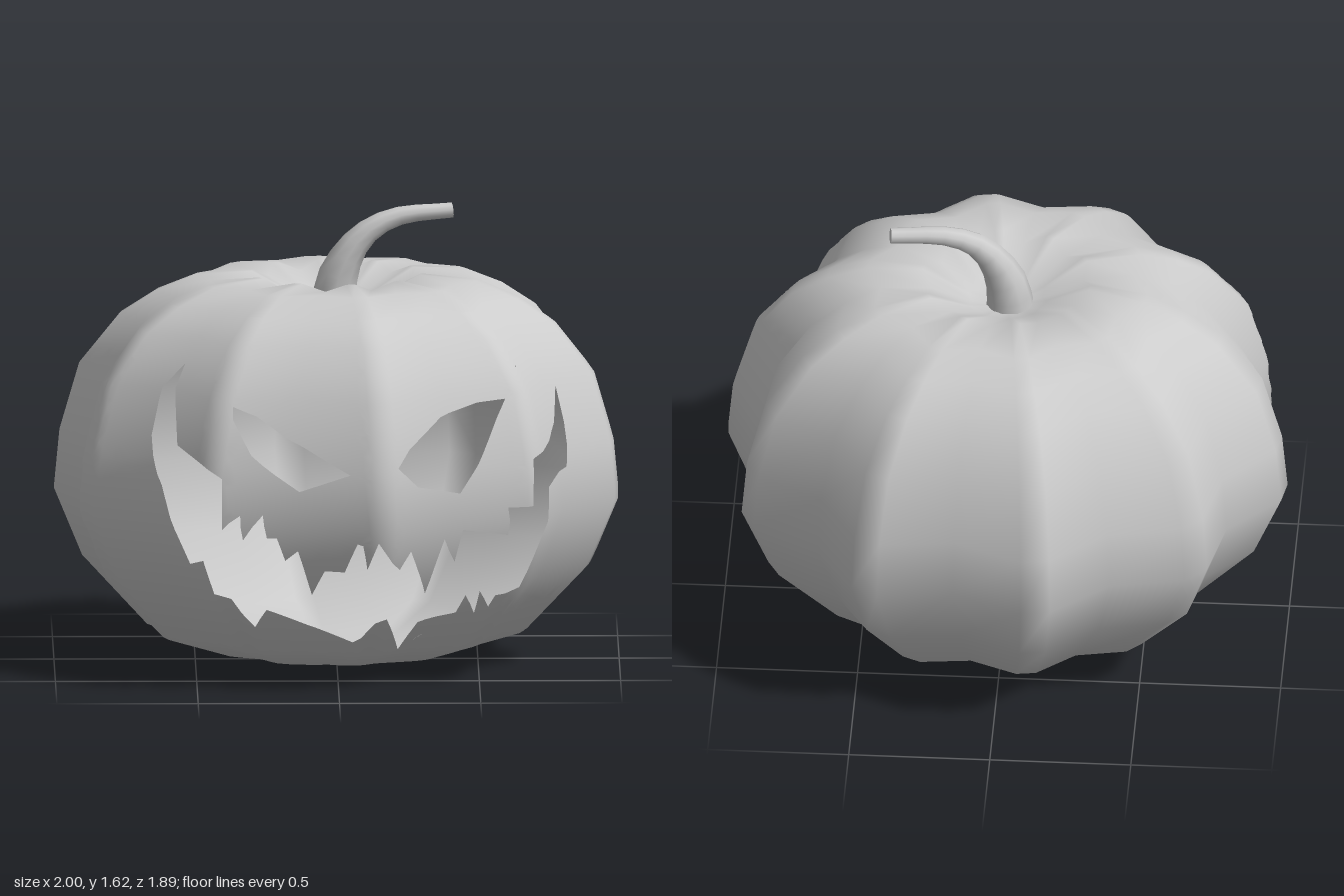
import * as THREE from 'three';

// Ridge profile from the bottom centre to the sunken crown: [radius, height]
const PROFILE = [[0, 0], [0.22, 0.008], [0.43, 0.04], [0.67, 0.115], [0.9, 0.36], [1, 0.6], [0.98, 0.81],
  [0.91, 1.05], [0.77, 1.225], [0.64, 1.31], [0.5, 1.368], [0.3, 1.385], [0.14, 1.3], [0, 1.26]];
const VALLEY_DROP = { 11: 0.03, 12: 0.01 }; // creases dip below the ridges near the crown
const LOBES = 10, COLS = LOBES * 3, ROWS = PROFILE.length - 1;
const MAX_EDGE = 0.3;

// Carved outlines in front view: [x, y]
const RIGHT_EYE = [[-0.375, 1.03], [-0.29, 0.995], [-0.18, 0.915], [0.04, 0.8], [-0.14, 0.73], [-0.31, 0.86], [-0.375, 0.985]];
const LEFT_EYE = [[0.59, 1.035], [0.49, 1.025], [0.36, 0.98], [0.25, 0.885], [0.21, 0.825], [0.28, 0.75], [0.43, 0.71],
  [0.51, 0.845], [0.56, 0.97]];
const UPPER_LIP = [[-0.54, 1.14], [-0.575, 1.06], [-0.57, 0.87], [-0.415, 0.78], [-0.415, 0.6], [-0.35, 0.65],
  [-0.34, 0.56], [-0.27, 0.65], [-0.255, 0.565], [-0.22, 0.565], [-0.19, 0.48], [-0.145, 0.515], [-0.095, 0.35],
  [-0.05, 0.445], [0.02, 0.445], [0.065, 0.555], [0.085, 0.55], [0.1, 0.46], [0.14, 0.56], [0.215, 0.455],
  [0.255, 0.52], [0.305, 0.35], [0.375, 0.55], [0.41, 0.46], [0.44, 0.58], [0.6, 0.555], [0.6, 0.655],
  [0.69, 0.655], [0.69, 0.82]];
const LOWER_LIP = [[0.69, 0.46], [0.64, 0.35], [0.555, 0.325],
  [0.53, 0.28], [0.5, 0.345], [0.48, 0.255], [0.45, 0.33], [0.415, 0.26], [0.28, 0.23], [0.21, 0.125],
  [0.17, 0.26], [0.13, 0.245], [0.05, 0.165], [-0.12, 0.23], [-0.255, 0.29], [-0.295, 0.22], [-0.38, 0.335],
  [-0.44, 0.35], [-0.48, 0.475], [-0.525, 0.45], [-0.595, 0.61], [-0.64, 0.755], [-0.66, 0.89], [-0.62, 1.06]];
// Left mouth corner wraps round the side, in side view: [z, y]
const MOUTH_CORNER = [[0.49, 0.86], [0.365, 0.905], [0.315, 1.03], [0.33, 0.9], [0.36, 0.745], [0.6, 0.71]];

// Control point: each lobe has two ridge columns and one valley column
function control(col, row) {
  const lobe = Math.floor(col / 3), i = col - lobe * 3;
  const angle = THREE.MathUtils.degToRad(9 + 36 * lobe + [-3, 3, 18][i]);
  const valley = i === 2;
  const r = PROFILE[row][0] * (valley ? 0.895 : 1);
  const y = PROFILE[row][1] - (valley ? VALLEY_DROP[row] || 0 : 0);
  return new THREE.Vector3(1.005 * r * Math.sin(angle), y, 0.95 * r * Math.cos(angle));
}

function controlNormal(col, row) {
  if (row === 0 || row === ROWS) return new THREE.Vector3(0, row ? 1 : -1, 0);
  const across = control(col + 1, row).sub(control(col - 1, row));
  const up = control(col, row + 1).sub(control(col, row - 1));
  return across.cross(up).normalize();
}

// Blend the four surrounding control values at column c, row s
function blend(fn, c, s) {
  const col = Math.floor(c), row = Math.min(Math.floor(s), ROWS - 1);
  const low = fn(col, row).lerp(fn(col + 1, row), c - col);
  const high = fn(col, row + 1).lerp(fn(col + 1, row + 1), c - col);
  return low.lerp(high, s - row);
}

// Find the surface coordinates where the given axis reaches a value at height y,
// searching from column lo (small value) to column hi (large value)
function toSurface(axis, value, y, lo, hi) {
  let row = 0;
  while (PROFILE[row + 1][1] < y) row++;
  const s = row + (y - PROFILE[row][1]) / (PROFILE[row + 1][1] - PROFILE[row][1]);
  for (let k = 0; k < 40; k++) {
    const mid = (lo + hi) / 2;
    if (blend(control, mid, s)[axis] < value) lo = mid; else hi = mid;
  }
  return new THREE.Vector2(lo, s);
}
const fromFront = ([x, y]) => toSurface('x', x, y, -5, 5);
const fromSide = ([z, y]) => toSurface('z', z, y, 7, 2);

// Halve the longest edge until the triangle is small enough to follow the surface
function subdivide(a, b, c, out) {
  const ab = a.distanceTo(b), bc = b.distanceTo(c), ca = c.distanceTo(a);
  const longest = Math.max(ab, bc, ca);
  if (longest <= MAX_EDGE) { out.push(a, b, c); return; }
  if (bc === longest) [a, b, c] = [b, c, a];
  else if (ca === longest) [a, b, c] = [c, a, b];
  const m = a.clone().add(b).multiplyScalar(0.5);
  subdivide(a, m, c, out);
  subdivide(m, b, c, out);
}

// Map triangles from surface coordinates onto the lobed body
function skinGeometry(points) {
  const pos = [], nor = [];
  for (const p of points) {
    pos.push(...blend(control, p.x, p.y).toArray());
    nor.push(...blend(controlNormal, p.x, p.y).normalize().toArray());
  }
  const g = new THREE.BufferGeometry();
  g.setAttribute('position', new THREE.Float32BufferAttribute(pos, 3));
  g.setAttribute('normal', new THREE.Float32BufferAttribute(nor, 3));
  return g;
}

// Front panel with the face cut out
function carvedPanel() {
  const mouth = [...UPPER_LIP.map(fromFront), ...MOUTH_CORNER.map(fromSide), ...LOWER_LIP.map(fromFront)];
  const panel = new THREE.Shape([[-8, 1], [8, 1], [8, 9], [-8, 9]].map((p) => new THREE.Vector2(...p)));
  panel.holes = [RIGHT_EYE.map(fromFront), LEFT_EYE.map(fromFront), mouth].map((o) => new THREE.Path(o));
  const { index, attributes } = new THREE.ShapeGeometry(panel);
  const at = (i) => new THREE.Vector2().fromBufferAttribute(attributes.position, index.getX(i));
  const points = [];
  for (let i = 0; i < index.count; i += 3) subdivide(at(i), at(i + 1), at(i + 2), points);
  return points;
}

// Remaining cells: back, crown and underside
function plainCells() {
  const points = [];
  for (let c = -8; c < COLS - 8; c++) {
    for (let s = 0; s < ROWS; s++) {
      if (c < 8 && s >= 1 && s < 9) continue;
      const [a, b, d, e] = [[c, s], [c + 1, s], [c + 1, s + 1], [c, s + 1]].map((p) => new THREE.Vector2(...p));
      if (s > 0) points.push(a, b, d);
      if (s < ROWS - 1) points.push(a, d, e);
    }
  }
  return points;
}

export function createModel() {
  const group = new THREE.Group();
  const skinMaterial = new THREE.MeshStandardMaterial({ color: 0xcccccc, side: THREE.DoubleSide });
  const stemMaterial = new THREE.MeshStandardMaterial({ color: 0xcccccc });
  const add = (name, geometry, material) => {
    const mesh = new THREE.Mesh(geometry, material);
    mesh.name = name;
    group.add(mesh);
    return mesh;
  };

  add('carvedFace', skinGeometry(carvedPanel()), skinMaterial);
  add('pumpkinBody', skinGeometry(plainCells()), skinMaterial);

  // Tapered, bent stem
  const path = new THREE.CatmullRomCurve3([[-0.01, 1.25, 0], [0, 1.35, 0], [0.025, 1.42, 0], [0.065, 1.485, -0.005],
    [0.125, 1.54, -0.015], [0.22, 1.58, -0.035], [0.41, 1.596, -0.068]].map((p) => new THREE.Vector3(...p)));
  const radii = [0.088, 0.081, 0.073, 0.062, 0.052, 0.044, 0.038, 0.034, 0.031, 0.029, 0.028];
  const rings = radii.length - 1, sides = 10;
  const stem = new THREE.TubeGeometry(path, rings, 1, sides);
  const pos = stem.attributes.position, v = new THREE.Vector3();
  for (let i = 0; i < pos.count; i++) {
    const ring = Math.floor(i / (sides + 1)), mid = path.getPointAt(ring / rings);
    v.fromBufferAttribute(pos, i).sub(mid).multiplyScalar(radii[ring]).add(mid);
    pos.setXYZ(i, v.x, v.y, v.z);
  }
  add('stem', stem, stemMaterial);
  const tip = add('stemTip', new THREE.CircleGeometry(radii[rings], sides), stemMaterial);
  tip.position.copy(path.getPointAt(1));
  tip.quaternion.setFromUnitVectors(new THREE.Vector3(0, 0, 1), path.getTangentAt(1));
  return group;
}
